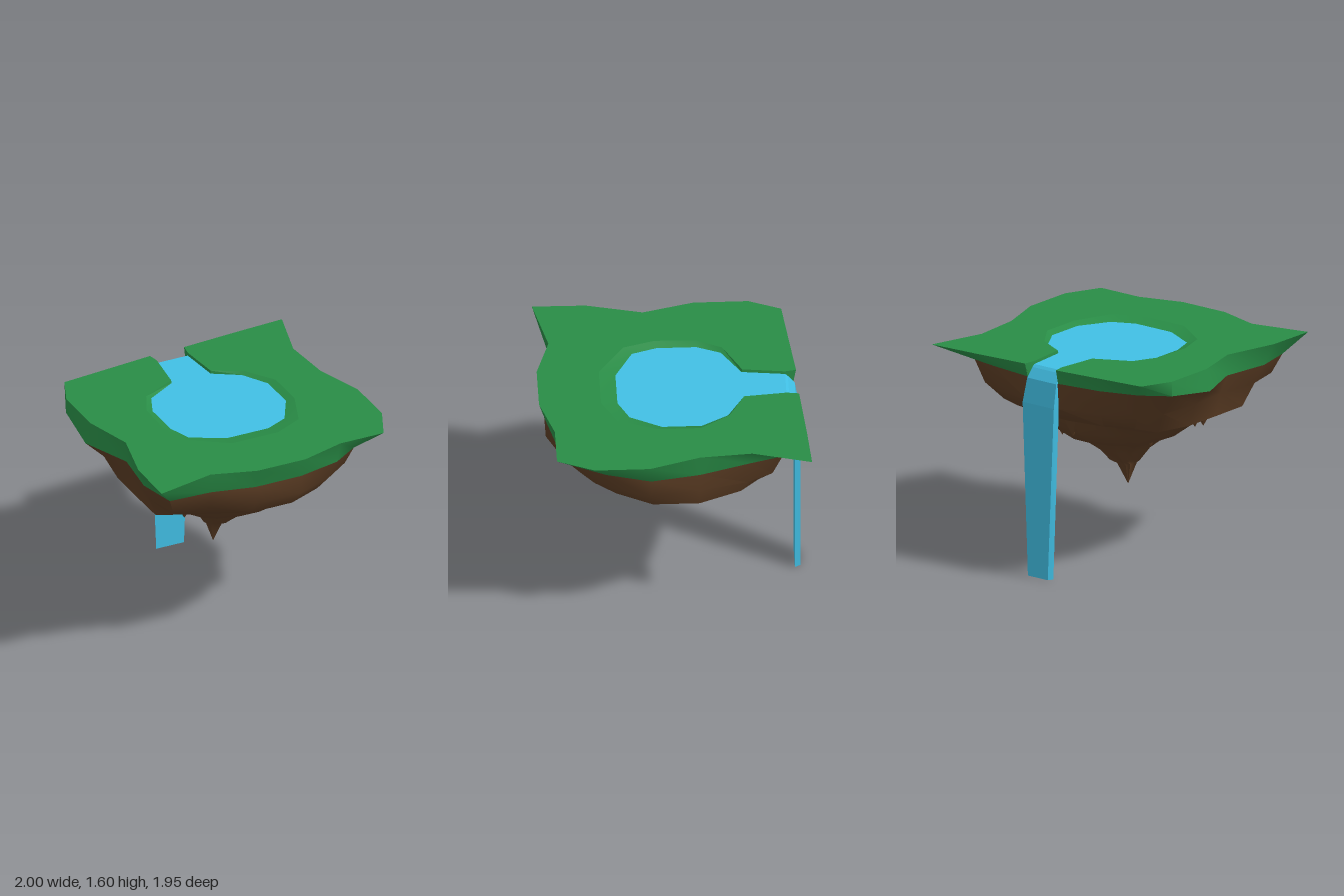
import * as THREE from 'three';
import { toCreasedNormals } from 'three/addons/utils/BufferGeometryUtils.js';

const grassMat = new THREE.MeshStandardMaterial({ color: 0x298c46 });
grassMat.name = 'grass green';
const rockMat = new THREE.MeshStandardMaterial({ color: 0x5c3d24 });
rockMat.name = 'earth brown';
const waterMat = new THREE.MeshStandardMaterial({ color: 0x41bfe4 });
waterMat.name = 'water blue';

const TOP = 1.6, WATER = 1.578;

// Island edge, clockwise from above, starting beside the waterfall notch: x, z, rim radius
const EDGE = [
  [0.15, -0.92, 0.89], [0.6, -0.955, 0.98], [0.97, -0.978, 1.07], [0.85, -0.55, 0.98],
  [0.88, -0.17, 0.895], [1, 0.2, 0.96], [1, 0.6, 0.99], [0.88, 0.87, 1.01],
  [0.53, 0.87, 0.99], [0.2, 0.97, 0.94], [-0.19, 0.97, 0.94], [-0.52, 0.87, 0.99],
  [-0.965, 0.97, 1.18], [-0.96, 0.58, 1.05], [-0.86, 0.17, 0.87], [-0.96, -0.2, 1.02],
  [-0.96, -0.6, 1.135], [-0.86, -0.835, 1.06], [-0.5, -0.872, 0.96], [-0.13, -0.91, 0.89],
];
// Radii of the upper rock tiers along the same directions
const TIER1 = [0.89, 0.93, 0.99, 0.95, 0.9, 0.96, 0.95, 0.94, 0.93, 0.94,
  0.94, 0.96, 1.1, 0.98, 0.82, 0.85, 0.95, 0.97, 0.92, 0.89];
const TIER2 = [0.74, 0.79, 0.85, 0.87, 0.88, 0.88, 0.84, 0.83, 0.82, 0.83,
  0.83, 0.82, 0.88, 0.89, 0.78, 0.78, 0.81, 0.85, 0.79, 0.74];

// Bank of pond and channel, from left of the notch round to right of it: top x, z, water x, z
const BANK = [
  [-0.13, -0.91, -0.128, -0.89], [-0.115, -0.83, -0.113, -0.83], [-0.153, -0.52, -0.15, -0.515],
  [-0.42, -0.385, -0.385, -0.375], [-0.51, -0.2, -0.46, -0.2], [-0.52, 0.1, -0.46, 0.09],
  [-0.45, 0.33, -0.4, 0.27], [-0.17, 0.52, -0.15, 0.4], [0.2, 0.52, 0.18, 0.4],
  [0.42, 0.41, 0.35, 0.32], [0.53, 0.12, 0.475, 0.09], [0.53, -0.19, 0.475, -0.2],
  [0.385, -0.405, 0.36, -0.395], [0.167, -0.52, 0.165, -0.515], [0.137, -0.83, 0.135, -0.83],
  [0.15, -0.92, 0.148, -0.89],
];

function mesh(name, geometry, material) {
  const m = new THREE.Mesh(geometry, material);
  m.name = name;
  return m;
}

// Skin between stacked rings, upper ring first
function loft(rings, closed, crease) {
  const pos = [];
  const tri = (...pts) => pts.forEach((p) => pos.push(...p));
  for (let k = 0; k < rings.length - 1; k++) {
    const up = rings[k], low = rings[k + 1], n = up.length;
    for (let i = 0; i < (closed ? n : n - 1); i++) {
      const j = (i + 1) % n;
      tri(up[i], up[j], low[i]);
      if (low[i].some((v, c) => v !== low[j][c])) tri(up[j], low[j], low[i]);
    }
  }
  const g = new THREE.BufferGeometry();
  g.setAttribute('position', new THREE.Float32BufferAttribute(pos, 3));
  return toCreasedNormals(g, crease);
}

// Flat horizontal polygon facing up
function flat(points, y) {
  const shape = new THREE.Shape(points.map(([x, z]) => new THREE.Vector2(x, -z)));
  return new THREE.ShapeGeometry(shape).rotateX(-Math.PI / 2).translate(0, y, 0);
}

// Point at radius r in the direction of edge point i
function along(i, r, y, cx = 0) {
  const [x, z] = EDGE[i], d = Math.hypot(x, z);
  return [cx + (x / d) * r, y, (z / d) * r];
}

function rim() {
  return EDGE.map(([, z, r], i) => along(i, r, z < -0.4 ? 1.49 : 1.44));
}

function createGrass() {
  const g = new THREE.Group();
  g.name = 'grass';
  g.add(mesh('meadow', flat([...EDGE, ...BANK.slice(1, -1)], TOP), grassMat));
  // The last edge segment is left open for the waterfall
  const skirt = loft([EDGE.map(([x, z]) => [x, TOP, z]), rim()], false, 1.1);
  g.add(mesh('grassSkirt', skirt, grassMat));
  const bank = loft([
    BANK.map(([x, z]) => [x, TOP, z]),
    BANK.map(([, , x, z]) => [x, z < -0.85 ? 1.49 : WATER, z]),
  ], false, 0.5);
  g.add(mesh('pondBank', bank, grassMat));
  return g;
}

function createRock() {
  const g = new THREE.Group();
  g.name = 'rock';
  let seed = 7;
  const jitter = () => ((seed = (seed * 16807) % 2147483647) / 2147483647) * 2 - 1;
  // The ledge hangs lower on the model's right side
  const ledgeY = (i) => (i >= 13 && i <= 16 ? 1.12 : 1.17);
  const rings = [
    rim(),
    TIER1.map((r, i) => along(i, r, 1.3)),
    TIER2.map((r, i) => along(i, r, ledgeY(i))),
    TIER2.map((r, i) => along(i, r - 0.09, ledgeY(i))),
  ];
  // Ragged lower tiers: radius, height, centre x, raggedness
  for (const [r, y, cx, rag] of [
    [0.59, 1.04, 0, 0.02], [0.44, 0.92, 0.005, 0.02], [0.34, 0.895, 0, 0.03],
    [0.2, 0.79, -0.01, 0.02], [0.11, 0.7, -0.04, 0.015], [0.065, 0.67, -0.06, 0.008],
  ]) {
    rings.push(EDGE.map((_, i) => along(i, r + rag * jitter(), y + rag * 0.4 * jitter(), cx)));
  }
  rings.push(EDGE.map(() => [-0.07, 0.51, 0]));
  g.add(mesh('rockBody', loft(rings, true, 0.8), rockMat));

  // Small crags hanging from the underside: x, tip y, z, size
  for (const [x, y, z, s] of [
    [-0.64, 1.02, 0.16, 0.12], [0.12, 0.74, 0.04, 0.08], [-0.03, 1.0, -0.59, 0.11],
    [0.38, 0.89, 0.12, 0.1], [-0.36, 0.87, -0.1, 0.09], [-0.45, 0.94, 0.3, 0.1],
    [0.3, 0.88, -0.3, 0.09], [-0.2, 0.77, 0.05, 0.07],
  ]) {
    const cone = new THREE.ConeGeometry(s * 0.75, s * 1.3, 5).rotateX(Math.PI);
    const crag = mesh('crag', toCreasedNormals(cone, 0.5), rockMat);
    crag.position.set(x, y + s * 0.65, z);
    crag.rotation.y = x * 5;
    g.add(crag);
  }
  return g;
}

function createWater() {
  const g = new THREE.Group();
  g.name = 'water';
  g.add(mesh('pond', flat(BANK.slice(1, -1).map(([, , x, z]) => [x, z]), WATER), waterMat));
  // Waterfall sections: outer y, z, inner y, z, left and right x, outer face inset
  const rings = [
    [WATER, -0.83, 1.5, -0.8, -0.113, 0.135, 0],
    [1.56, -0.85, 1.48, -0.82, -0.113, 0.137, 0],
    [1.49, -0.9, 1.43, -0.88, -0.125, 0.145, 0],
    [1.31, -0.93, 1.29, -0.89, -0.14, 0.178, 0.014],
    [0, -0.93, 0, -0.89, -0.09, 0.135, 0.02],
  ].map(([oy, oz, iy, iz, a, b, d]) => [[a + d, oy, oz], [b - d, oy, oz], [b, iy, iz], [a, iy, iz]]);
  rings.push(rings[4].map(() => [0.02, 0, -0.91]));
  g.add(mesh('waterfall', loft(rings, true, 0.15), waterMat));
  return g;
}

export function createModel() {
  const model = new THREE.Group();
  model.name = 'floatingIsland';
  model.add(createGrass(), createRock(), createWater());
  return model;
}
